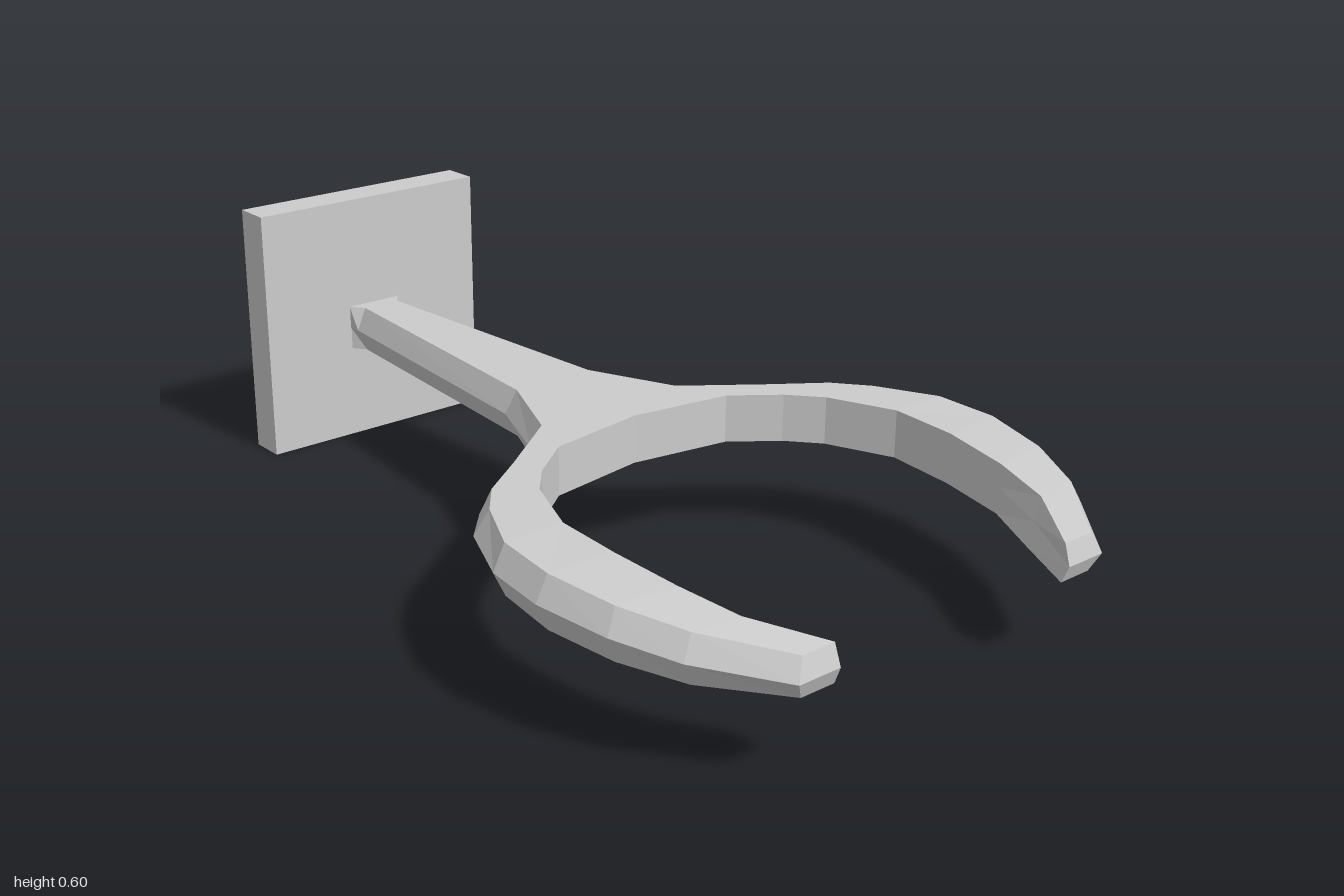
import * as THREE from 'three';

// Half of the fork, from the plate to the tip. Each station:
// outer ridge x,z | outer top/bottom edge x,z | inner wall z, x top, x bottom | y top, ridge, bottom
const stations = [
  [0.07, -0.914, 0.07, -0.914, -0.914, 0, 0, 0.333, 0.28, 0.225],
  [0.07, -0.88, 0.046, -0.88, -0.88, 0, 0, 0.333, 0.28, 0.225],
  [0.125, -0.2, 0.1, -0.19, -0.19, 0, 0, 0.333, 0.28, 0.225],
  [0.205, 0, 0.185, 0.01, 0.09, 0, 0, 0.333, 0.28, 0.225],
  [0.37, 0.12, 0.35, 0.133, 0.125, 0.23, 0.23, 0.333, 0.28, 0.225],
  [0.48, 0.195, 0.46, 0.21, 0.2, 0.33, 0.33, 0.333, 0.28, 0.225],
  [0.548, 0.27, 0.52, 0.285, 0.27, 0.39, 0.39, 0.333, 0.28, 0.225],
  [0.612, 0.42, 0.585, 0.42, 0.42, 0.45, 0.45, 0.333, 0.28, 0.225],
  [0.622, 0.56, 0.595, 0.56, 0.57, 0.45, 0.45, 0.327, 0.274, 0.215],
  [0.59, 0.72, 0.565, 0.71, 0.72, 0.432, 0.43, 0.313, 0.262, 0.204],
  [0.53, 0.85, 0.505, 0.84, 0.85, 0.4, 0.37, 0.295, 0.246, 0.194],
  [0.405, 1, 0.385, 0.985, 0.985, 0.308, 0.305, 0.27, 0.226, 0.189],
];

function forkHalf(side) {
  const rings = stations.map(([ox, oz, ex, ez, iz, it, ib, top, mid, bot], i) => [
    [it, top, iz], [ex, top, ez], [ox, mid, oz], [ex, bot, ez], [ib, bot, iz],
    [(it + ib) / 2, mid, i === stations.length - 1 ? oz : iz],
  ]);
  const pos = [];
  const quad = (a, b, c, d) => {
    const order = side > 0 ? [a, b, c, a, c, d] : [a, c, b, a, d, c];
    for (const p of order) pos.push(p[0] * side, p[1], p[2]);
  };
  for (let i = 0; i < rings.length - 1; i++) {
    const r = rings[i], n = rings[i + 1];
    for (let j = 0; j < 6; j++) {
      const k = (j + 1) % 6;
      // the two halves join at x = 0, so no wall there
      if (j >= 4 && r[j][0] === 0 && n[j][0] === 0) continue;
      quad(r[j], n[j], n[k], r[k]);
    }
  }
  // wedge-shaped tip
  const t = rings[rings.length - 1];
  quad(t[0], t[5], t[2], t[1]);
  quad(t[5], t[4], t[3], t[2]);
  const geo = new THREE.BufferGeometry();
  geo.setAttribute('position', new THREE.Float32BufferAttribute(pos, 3));
  geo.computeVertexNormals();
  return geo;
}

export function createModel() {
  const group = new THREE.Group();
  const material = new THREE.MeshStandardMaterial({ color: 0xcccccc, flatShading: true });

  // square wall plate
  const plate = new THREE.Mesh(new THREE.BoxGeometry(0.6, 0.6, 0.088), material);
  plate.position.set(0, 0.3, -0.956);
  plate.name = 'wallPlate';
  group.add(plate);

  // stem and curved prongs
  for (const [side, name] of [[1, 'leftForkHalf'], [-1, 'rightForkHalf']]) {
    const half = new THREE.Mesh(forkHalf(side), material);
    half.name = name;
    group.add(half);
  }
  return group;
}
